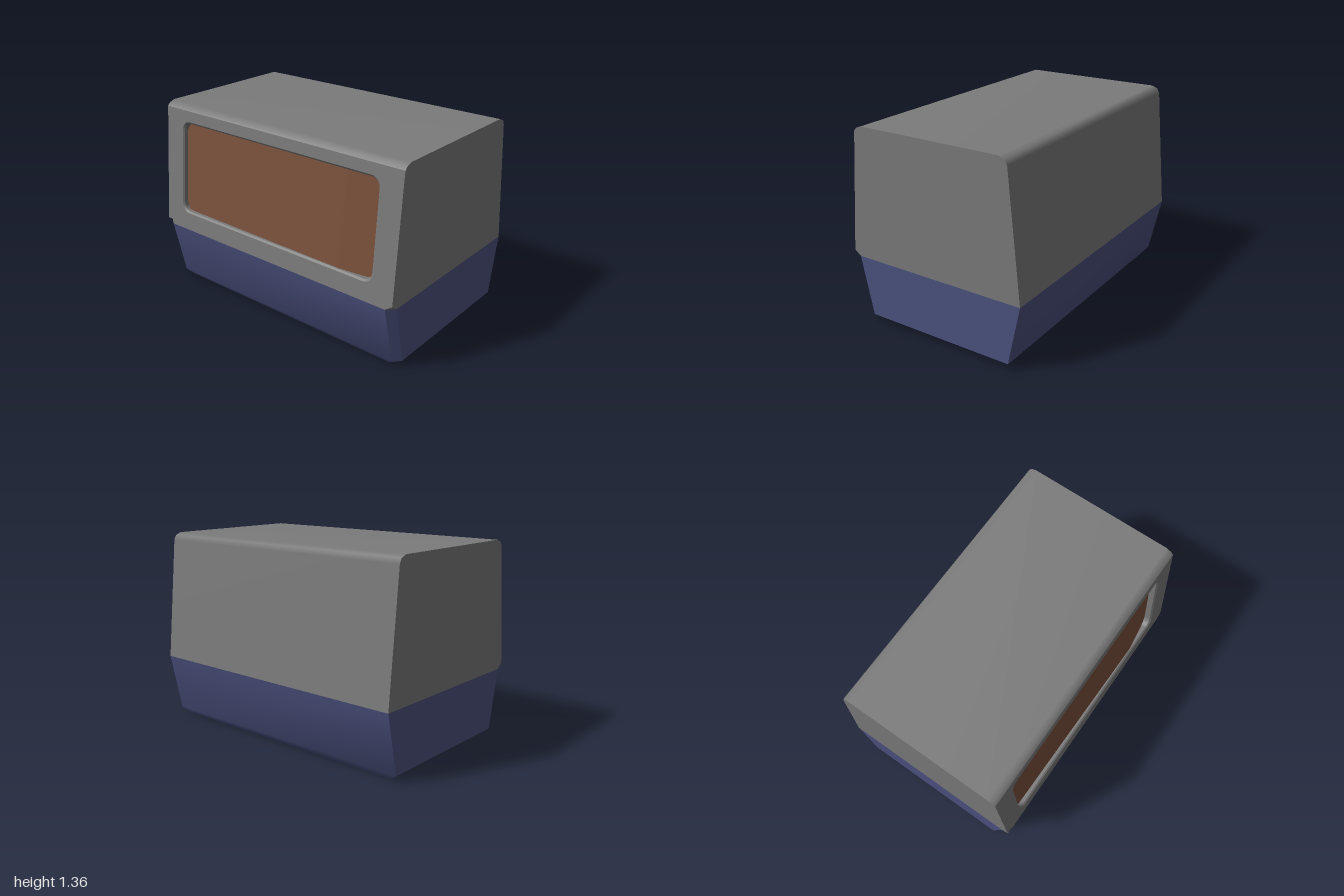
import * as THREE from 'three';
import { mergeVertices, toCreasedNormals } from 'three/addons/utils/BufferGeometryUtils.js';

const V = (x, y, z) => new THREE.Vector3(x, y, z);
const paint = (color) => new THREE.MeshStandardMaterial({ color, side: THREE.DoubleSide });
const grey = paint(0x7b7b7b), blue = paint(0x4c5280), brown = paint(0x7c513c);

function part(name, geometry, material) {
  const mesh = new THREE.Mesh(geometry, material);
  mesh.name = name;
  return mesh;
}

// Faceted skin between successive loops of points
function skin(loops, closed = true) {
  const tris = [];
  const add = (...t) => {
    const area = t[1].clone().sub(t[0]).cross(t[2].clone().sub(t[0])).length();
    if (area > 1e-9) tris.push(...t);
  };
  for (let k = 0; k + 1 < loops.length; k++) {
    const lo = loops[k], hi = loops[k + 1], n = lo.length;
    for (let i = 0; i < (closed ? n : n - 1); i++) {
      const j = (i + 1) % n;
      add(lo[i], lo[j], hi[j]);
      add(lo[i], hi[j], hi[i]);
    }
  }
  const g = new THREE.BufferGeometry().setFromPoints(tris);
  g.computeVertexNormals();
  return g;
}

// Smooth version of a skin, dominated by its large faces
function smooth(geometry) {
  const g = mergeVertices(geometry.deleteAttribute('normal'));
  g.computeVertexNormals();
  return g;
}

// Rectangle whose two -x corners are cut by c
const baseLoop = (y, x, z, c) => [
  V(c - x, y, z), V(x, y, z), V(x, y, -z), V(c - x, y, -z), V(-x, y, c - z), V(-x, y, z - c),
];

// Window outline in the plane of the leaning wall
const WIN = { w: 0.845, h: 0.333, v: 0.459, r: 0.07 };
function windowOutline(inset) {
  const w = WIN.w - inset, h = WIN.h - inset, r = WIN.r - inset, pts = [];
  [[1, 1], [-1, 1], [-1, -1], [1, -1]].forEach(([sx, sy], q) => {
    for (let i = 0; i <= 6; i++) {
      const a = (q + i / 6) * Math.PI / 2;
      pts.push(new THREE.Vector2(sx * (w - r) + r * Math.cos(a), WIN.v + sy * (h - r) + r * Math.sin(a)));
    }
  });
  return pts;
}

// Slightly bowed panel that fills the recess
function panelGeometry(inset) {
  const w = WIN.w - inset, h = WIN.h - inset, r = WIN.r - inset;
  const g = new THREE.PlaneGeometry(2 * w, 2, 60, 1);
  const p = g.attributes.position;
  for (let i = 0; i < p.count; i++) {
    const x = p.getX(i);
    const c = Math.max(0, Math.abs(x) - (w - r));
    const half = h - r + Math.sqrt(Math.max(0, r * r - c * c));
    const depth = x < 0.58 ? 0.035 - 0.02 * (x + w) / (0.58 + w) : 0.015 + 0.035 * (x - 0.58) / (w - 0.58);
    p.setXYZ(i, x, WIN.v + Math.sign(p.getY(i)) * half, -depth);
  }
  g.computeVertexNormals();
  return g;
}

export function createModel() {
  const model = new THREE.Group();

  // Tapered base: long bevels blend into the sides, end bevels stay sharp
  const foot = baseLoop(0, 0.53, 0.94, 0.03);
  model.add(part('base', toCreasedNormals(skin([
    foot.map(() => V(0, 0, 0)), foot, baseLoop(0.045, 0.567, 1, 0.048), baseLoop(0.456, 0.655, 1, 0.05),
  ]), 0.5), blue));

  // Cover: plain side wall, softened shoulders and roof
  const profile = [
    [0.655, 0.456], [0.572, 1.305], [0.555, 1.338], [0.512, 1.355],
    [-0.515, 1.355], [-0.553, 1.34], [-0.572, 1.32],
  ];
  const edge = (z) => profile.map(([x, y]) => V(x, y, z));
  model.add(part('cover', smooth(skin([edge(1), edge(-1)], false)), grey));

  // End walls, with the lower corner cut away to meet the base
  const endShape = new THREE.Shape(
    [...profile, [-0.652, 0.49], [-0.605, 0.456]].map(([x, y]) => new THREE.Vector2(x, y)));
  for (const s of [1, -1]) {
    const end = part(s > 0 ? 'frontWall' : 'backWall', new THREE.ShapeGeometry(endShape), grey);
    end.position.z = s;
    const top = [V(-0.652, 0.49, s), V(-0.652, 0.49, s * 0.96)];
    const bottom = [V(-0.605, 0.456, s), V(-0.655, 0.456, s * 0.95)];
    const cut = skin(s > 0 ? [top, bottom] : [bottom, top], false);
    model.add(end, part('cornerCut', cut, grey));
  }

  // Leaning wall with the recessed window: x runs along the body, y up the slope
  const wall = new THREE.Group();
  wall.name = 'windowWall';
  wall.position.set(-0.655, 0.456, 0);
  wall.rotation.set(-Math.atan2(0.083, 0.864), -Math.PI / 2, 0, 'YXZ');
  const wallShape = new THREE.Shape(
    [[-0.95, 0], [0.95, 0], [0.96, 0.034], [1, 0.034], [1, 0.868], [-1, 0.868], [-1, 0.034], [-0.96, 0.034]]
      .map(([x, y]) => new THREE.Vector2(x, y)));
  wallShape.holes.push(new THREE.Path(windowOutline(0)));
  const ring = (inset, depth) => windowOutline(inset).map((p) => V(p.x, p.y, -depth));
  wall.add(
    part('wallPanel', new THREE.ShapeGeometry(wallShape), grey),
    part('windowFrame', skin([ring(0, 0), ring(0.012, 0.01), ring(0.014, 0.055)]), grey),
    part('windowPane', panelGeometry(0.014), brown),
  );
  model.add(wall);
  return model;
}
